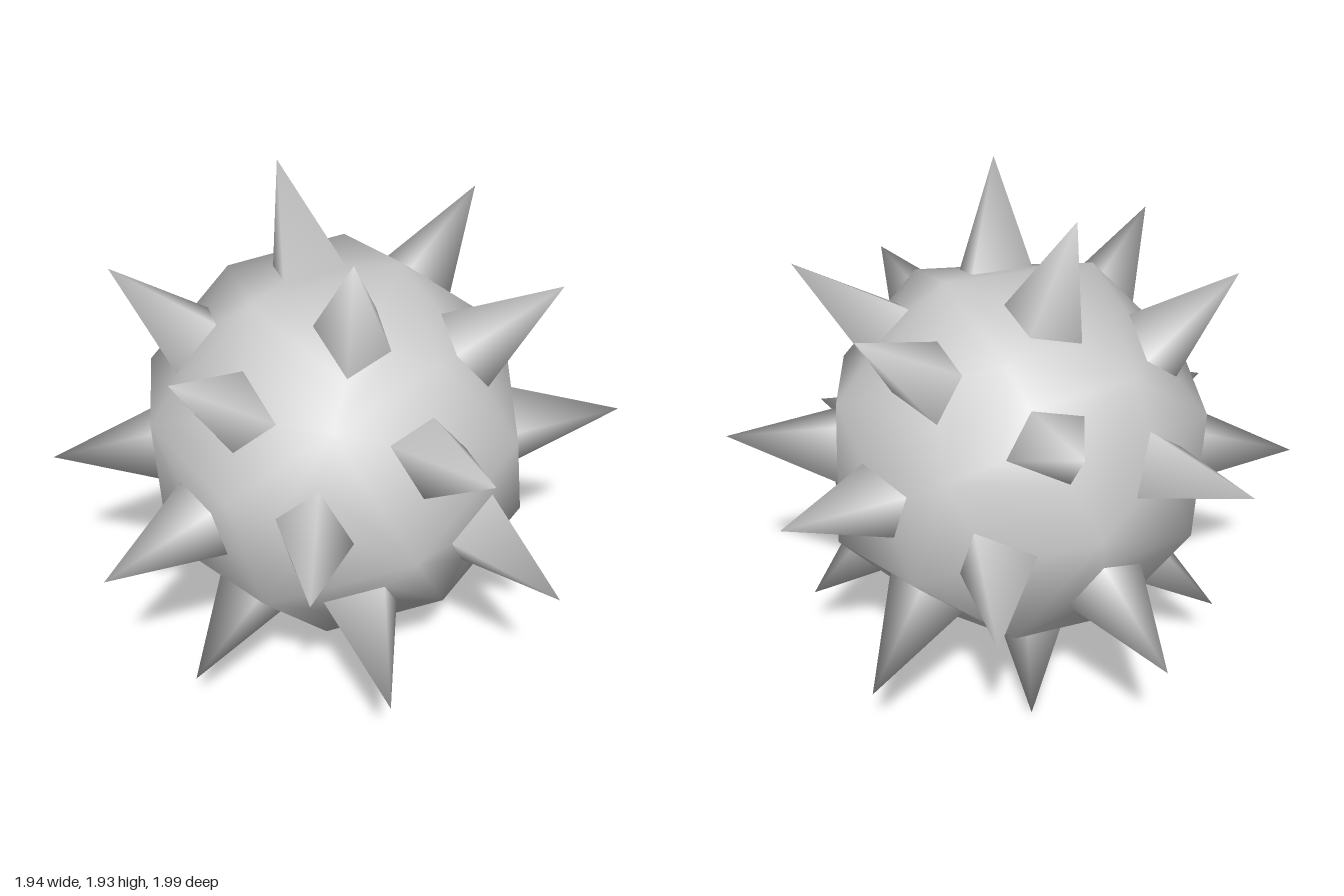
import * as THREE from 'three';
import { mergeGeometries } from 'three/addons/utils/BufferGeometryUtils.js';

const RADIUS = 0.705; // body sphere
const INSET = 0.41;   // spike base relative to its panel
const TIP = [0.888, 0.331, 0.331]; // spike tip above a panel, on the body's own axes

function indexed(points, index) {
  const geometry = new THREE.BufferGeometry().setFromPoints(points);
  geometry.setIndex(index);
  geometry.computeVertexNormals();
  return geometry;
}

// The 24 panels of a cube split 2 x 2 per side and rounded to a sphere
function makePanels() {
  const h = Math.SQRT1_2, c = 1 / Math.sqrt(3);
  const corners = [[1, 0, 0], [h, h, 0], [c, c, c], [h, 0, h]];
  const panels = [];
  for (let axis = 0; axis < 3; axis++) {
    for (const sx of [1, -1]) for (const sy of [1, -1]) for (const sz of [1, -1]) {
      const place = (p) => {
        const v = new THREE.Vector3();
        [sx * p[0], sy * p[1], sz * p[2]].forEach((n, i) => v.setComponent((axis + i) % 3, n));
        return v;
      };
      const outer = corners.map((p) => place(p).multiplyScalar(RADIUS));
      if (sx * sy * sz < 0) outer.reverse(); // keep mirrored panels facing outwards
      const centre = new THREE.Vector3();
      outer.forEach((v) => centre.addScaledVector(v, 0.25));
      const inner = outer.map((v) => centre.clone().lerp(v, INSET));
      panels.push({ outer, inner, tip: place(TIP) });
    }
  }
  return panels;
}

export function createModel() {
  const group = new THREE.Group();
  group.name = 'spikedBall';
  const material = new THREE.MeshStandardMaterial({ color: 0xcccccc });
  const panels = makePanels();

  // Body: a ring of four faces around every spike base, with round normals
  const ring = [];
  const sides = [];
  for (let i = 0; i < 4; i++) {
    const j = (i + 1) % 4;
    ring.push(i, j, 4 + j, i, 4 + j, 4 + i);
    sides.push(i, j, 4);
  }
  const bodyGeometry = mergeGeometries(panels.map((p) => indexed([...p.outer, ...p.inner], ring)));
  const { position, normal } = bodyGeometry.attributes;
  const v = new THREE.Vector3();
  for (let i = 0; i < position.count; i++) {
    v.fromBufferAttribute(position, i).normalize();
    normal.setXYZ(i, v.x, v.y, v.z);
  }
  const body = new THREE.Mesh(bodyGeometry, material);
  body.name = 'body';
  group.add(body);

  // Spikes: smooth-shaded four-sided pyramids
  const spikes = new THREE.Group();
  spikes.name = 'spikes';
  panels.forEach((p, i) => {
    const spike = new THREE.Mesh(indexed([...p.inner, p.tip], sides), material);
    spike.name = `spike${i + 1}`;
    spikes.add(spike);
  });
  group.add(spikes);

  // Tilt of the whole ball
  const up = new THREE.Vector3(-0.073, 0.893, 0.444).normalize();
  const side = up.clone().cross(new THREE.Vector3(0.292, 0.447, -0.846)).normalize();
  const front = side.clone().cross(up);
  group.quaternion.setFromRotationMatrix(new THREE.Matrix4().makeBasis(side, up, front));
  group.position.y = 0.97;

  const model = new THREE.Group();
  model.name = 'model';
  model.add(group);
  return model;
}
